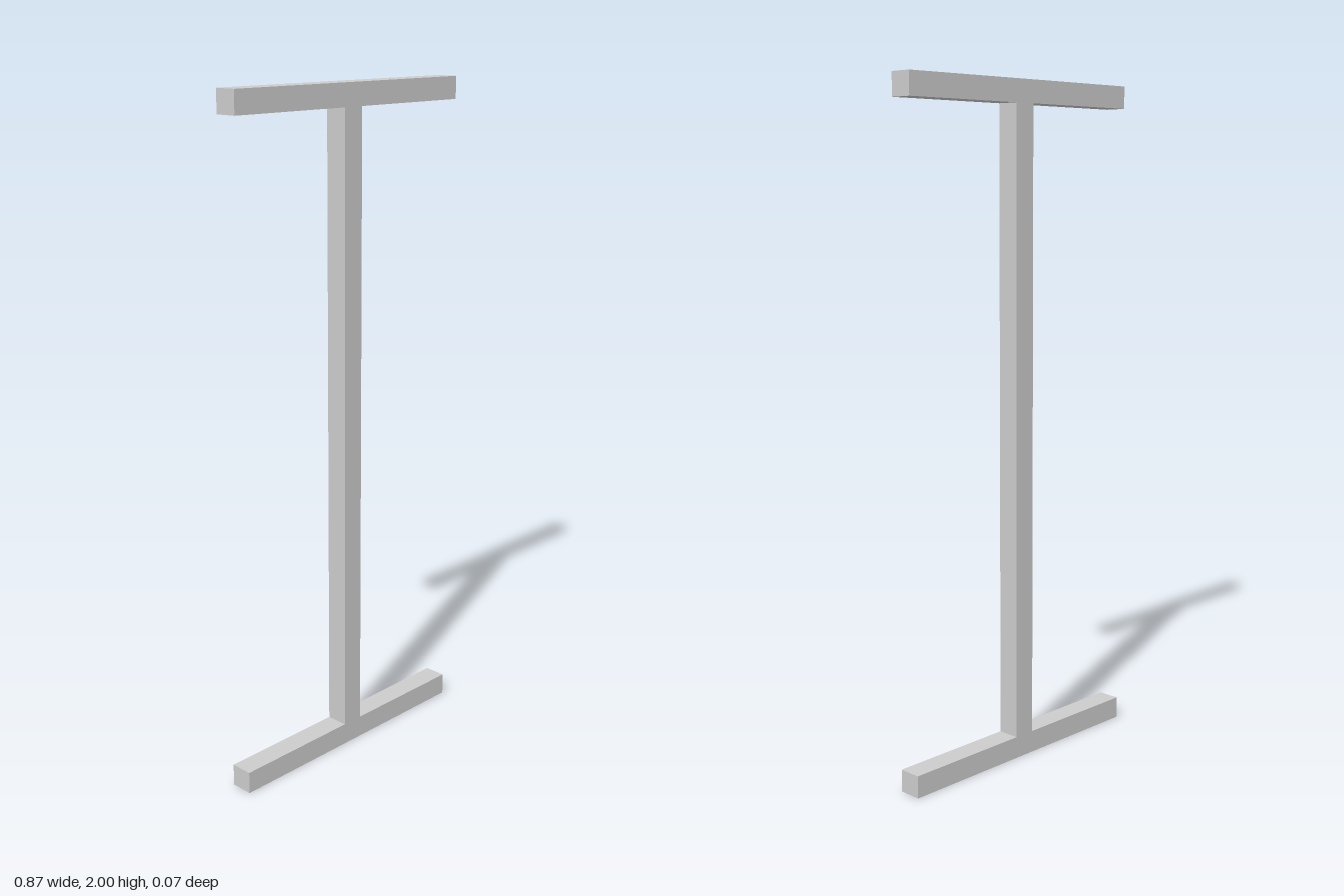
import * as THREE from 'three';

export function createModel() {
  const group = new THREE.Group();
  const halfBar = 0.434, halfPost = 0.034, barHeight = 0.066, height = 2, depth = 0.068;

  // I-shaped outline: right side going up, then mirrored back down the left
  const right = [
    [halfBar, 0], [halfBar, barHeight], [halfPost, barHeight],
    [halfPost, height - barHeight], [halfBar, height - barHeight], [halfBar, height],
  ];
  const left = right.map(([x, y]) => [-x, y]).reverse();
  const outline = new THREE.Shape([...right, ...left].map(([x, y]) => new THREE.Vector2(x, y)));

  // One solid piece: post with a crossbar at the top and bottom
  const geometry = new THREE.ExtrudeGeometry(outline, { depth, bevelEnabled: false });
  geometry.translate(0, 0, -depth / 2);
  const frame = new THREE.Mesh(
    geometry,
    new THREE.MeshStandardMaterial({ color: 0xcccccc, flatShading: true })
  );
  frame.name = 'postWithCrossbars';
  group.add(frame);
  return group;
}
